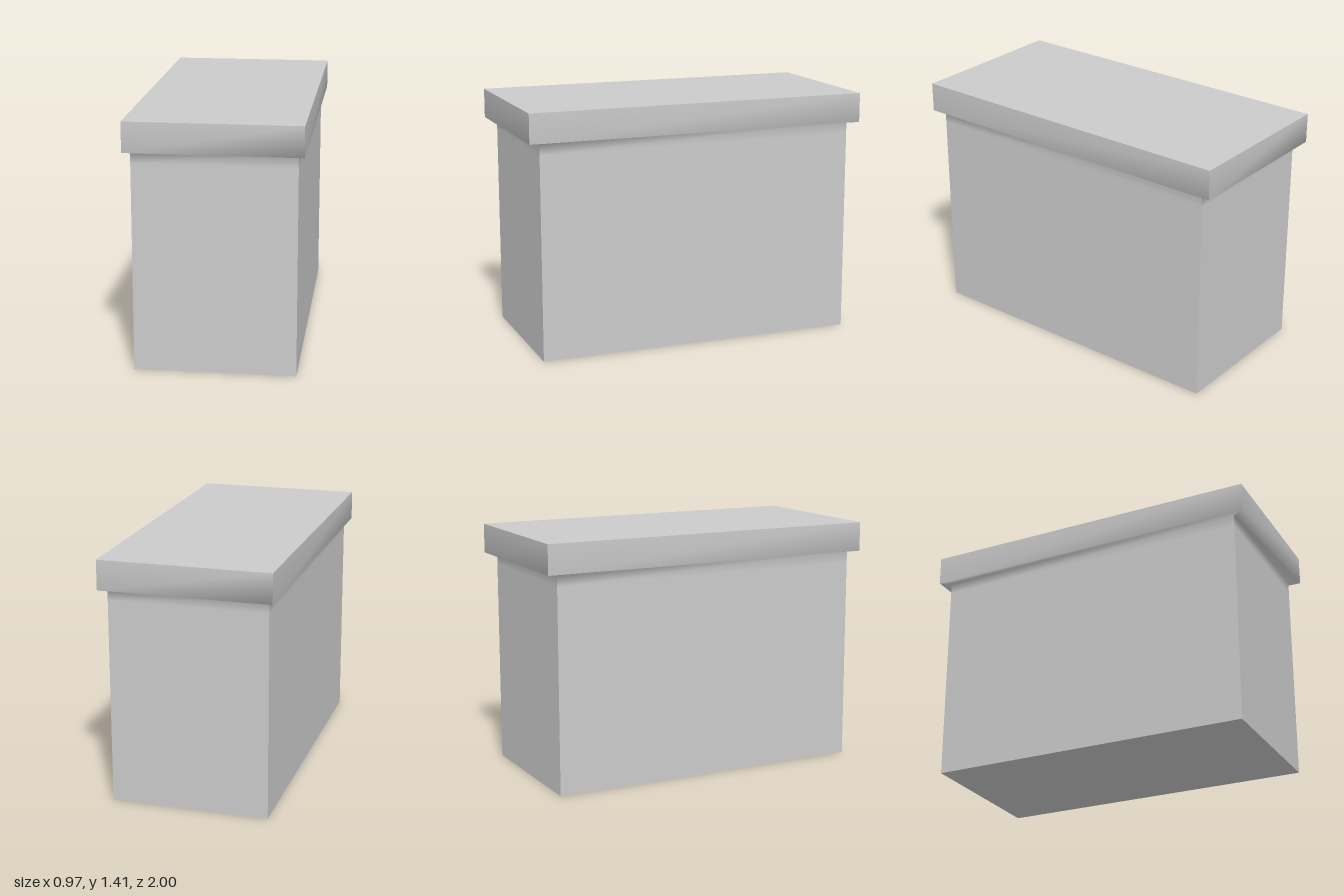
import * as THREE from 'three';
import { mergeGeometries } from 'three/addons/utils/BufferGeometryUtils.js';

// Outline from the ground up: half width, half depth, height
const RINGS = [
  [0.45, 0.935, 0],
  [0.45, 0.935, 1.175],
  [0.45, 0.935, 1.245],
  [0.485, 1, 1.245],
  [0.485, 1, 1.415],
];

// Corner signs (x, z), counter-clockwise seen from above
const CORNERS = [[-1, 1], [1, 1], [1, -1], [-1, -1]];

// One side, shaded smoothly over its whole height, cut to rings from..to
function side(k, from, to) {
  const ends = [CORNERS[k], CORNERS[(k + 1) % 4]];
  const positions = RINGS.flatMap(([w, d, y]) => ends.flatMap(([sx, sz]) => [sx * w, y, sz * d]));
  const rows = (first, last) => {
    const index = [];
    for (let a = first * 2; a < last * 2; a += 2) index.push(a, a + 1, a + 3, a, a + 3, a + 2);
    return index;
  };
  const geometry = new THREE.BufferGeometry();
  geometry.setAttribute('position', new THREE.Float32BufferAttribute(positions, 3));
  geometry.setIndex(rows(0, RINGS.length - 1));
  geometry.computeVertexNormals();
  geometry.setIndex(rows(from, to));
  return geometry.toNonIndexed();
}

// Flat end cap facing up (1) or down (-1)
function cap([w, d, y], facing) {
  const geometry = new THREE.PlaneGeometry(2 * w, 2 * d).rotateX(-facing * Math.PI / 2).translate(0, y, 0);
  geometry.deleteAttribute('uv');
  return geometry.toNonIndexed();
}

export function createModel() {
  const group = new THREE.Group();
  const material = new THREE.MeshStandardMaterial({ color: 0xcccccc });
  const add = (name, from, to, end) => {
    const sides = CORNERS.map((_, k) => side(k, from, to));
    const mesh = new THREE.Mesh(mergeGeometries([...sides, end]), material);
    mesh.name = name;
    group.add(mesh);
  };

  // Box body with its base
  add('body', 0, 2, cap(RINGS[0], -1));
  // Overhanging lid: underside lip, rim and top
  add('lid', 2, 4, cap(RINGS[4], 1));

  return group;
}
